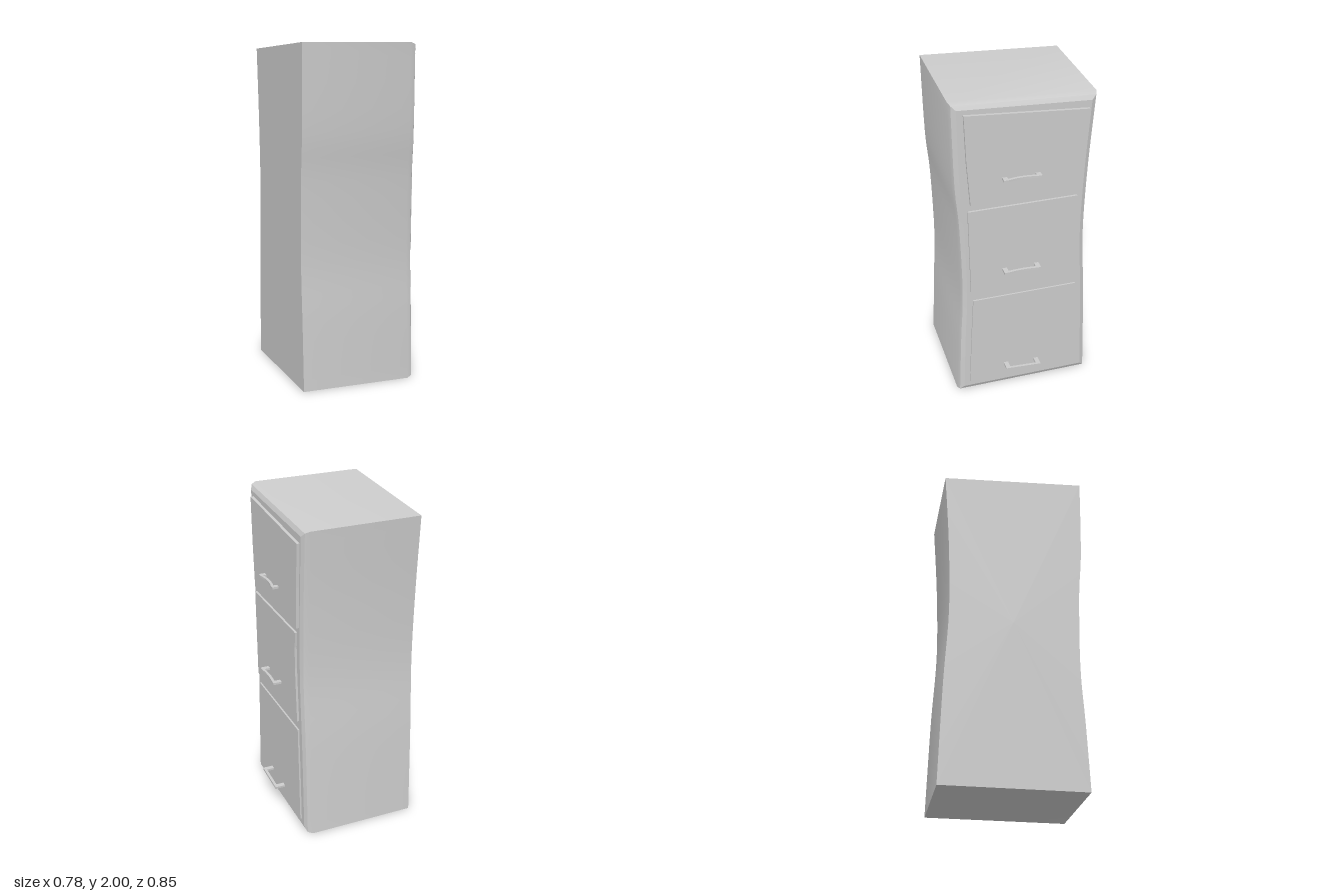
import * as THREE from 'three';
import { toCreasedNormals } from 'three/addons/utils/BufferGeometryUtils.js';

const material = new THREE.MeshStandardMaterial({ color: 0xcccccc });

function addMesh(parent, name, geometry) {
  const mesh = new THREE.Mesh(geometry, material);
  mesh.name = name;
  parent.add(mesh);
  return mesh;
}

// Samples a smooth side profile given as [z, y] points
function sampleSide(points, count = 20) {
  return new THREE.SplineCurve(points.map(([z, y]) => new THREE.Vector2(z, y))).getPoints(count);
}

// Waisted cabinet body: one outline repeated along x, shrinking at the front bevel
function bodyGeometry() {
  const outline = [
    ...sampleSide([[-0.422, 0], [-0.402, 0.6], [-0.379, 1.05], [-0.391, 1.5], [-0.422, 1.958]]),
    ...sampleSide([[0.426, 2], [0.418, 1.5], [0.398, 1.22], [0.389, 0.75], [0.408, 0.4], [0.426, 0]]),
  ];
  const sections = [[-0.39, 0], [0.272, 0], [0.302, 0.011], [0.315, 0.037]]; // [x, inset]
  const n = outline.length;
  const positions = [];
  const index = [];
  for (const [x, inset] of sections) {
    for (const p of outline) {
      positions.push(x, 1 + (p.y - 1) * (1 - inset), p.x * (1 - inset / 0.42));
    }
  }
  const back = sections.length * n;
  const front = back + 1;
  positions.push(sections[0][0], 1, 0, sections.at(-1)[0], 1, 0);
  for (let j = 0; j < n; j++) {
    const k = (j + 1) % n;
    for (let i = 0; i < sections.length - 1; i++) {
      const a = i * n + j, b = i * n + k, c = b + n, d = a + n;
      index.push(a, b, c, a, c, d);
    }
    const last = (sections.length - 1) * n;
    index.push(back, k, j, front, last + j, last + k);
  }
  const geometry = new THREE.BufferGeometry();
  geometry.setAttribute('position', new THREE.Float32BufferAttribute(positions, 3));
  geometry.setIndex(index);
  return toCreasedNormals(geometry, 0.4);
}

// Flat drawer panel from [z, y] corners, extruded along +x
function panelGeometry(corners, frontX) {
  const shape = new THREE.Shape(corners.map(([z, y]) => new THREE.Vector2(-z, y)));
  return new THREE.ExtrudeGeometry(shape, { depth: frontX - 0.305, bevelEnabled: false })
    .rotateY(Math.PI / 2)
    .translate(0.305, 0, 0);
}

// U-shaped pull with a bowed grip, centred on the origin; reach runs along +x
function handleGeometry(reach, bow) {
  const half = 0.112, inner = 0.084, grip = 0.016, height = 0.013;
  const shape = new THREE.Shape();
  shape.moveTo(-0.01, -half);
  shape.lineTo(reach, -half);
  shape.lineTo(reach, -inner);
  shape.quadraticCurveTo(reach - 2 * bow, 0, reach, inner);
  shape.lineTo(reach, half);
  shape.lineTo(-0.01, half);
  shape.lineTo(-0.01, inner);
  shape.lineTo(reach - grip, inner);
  shape.quadraticCurveTo(reach - grip - 2 * bow, 0, reach - grip, -inner);
  shape.lineTo(-0.01, -inner);
  shape.closePath();
  const geometry = new THREE.ExtrudeGeometry(shape, { depth: height, bevelEnabled: false, curveSegments: 10 });
  return toCreasedNormals(geometry.translate(0, 0, -height / 2).rotateX(-Math.PI / 2), 0.5);
}

const drawers = [
  {
    name: 'topDrawer', frontX: 0.333, reach: 0.038, bow: 0.01, handleY: 1.52, handleZ: 0.028, tilt: 0,
    corners: [[0.352, 1.934], [0.343, 1.65], [0.325, 1.37], [-0.341, 1.37], [-0.352, 1.62], [-0.368, 1.88]],
  },
  {
    name: 'middleDrawer', frontX: 0.328, reach: 0.052, bow: 0.006, handleY: 0.9, handleZ: 0.028, tilt: 0,
    corners: [[0.341, 1.33], [0.333, 0.765], [-0.325, 0.76], [-0.314, 0.93], [-0.304, 1.1], [-0.304, 1.235], [-0.315, 1.33]],
  },
  {
    name: 'bottomDrawer', frontX: 0.325, reach: 0.063, bow: 0, handleY: 0.165, handleZ: 0.02, tilt: -0.06,
    corners: [[0.32, 0.7], [0.338, 0.39], [0.352, 0.074], [-0.347, 0.074], [-0.337, 0.39], [-0.325, 0.7]],
  },
];

export function createModel() {
  const model = new THREE.Group();
  model.name = 'filingCabinet';
  addMesh(model, 'cabinetBody', bodyGeometry());

  for (const d of drawers) {
    const drawer = new THREE.Group();
    drawer.name = d.name;
    addMesh(drawer, 'drawerFront', panelGeometry(d.corners, d.frontX));
    const handle = addMesh(drawer, 'drawerHandle', handleGeometry(d.reach, d.bow));
    handle.position.set(d.frontX, d.handleY, d.handleZ);
    handle.rotation.x = d.tilt;
    model.add(drawer);
  }
  return model;
}
